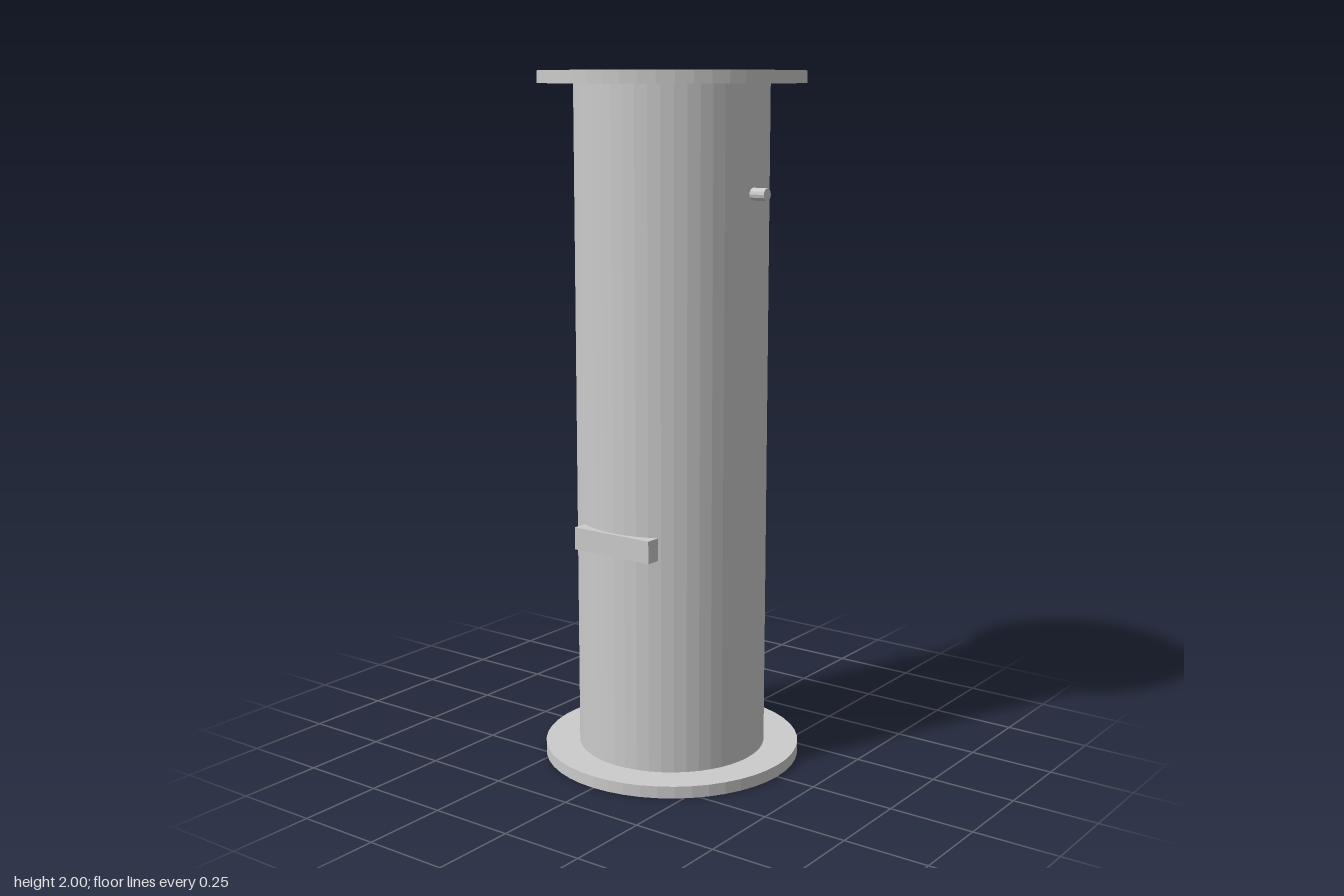
import * as THREE from 'three';

export function createModel() {
  const model = new THREE.Group();
  model.name = 'flangedColumn';
  const material = new THREE.MeshStandardMaterial({ color: 0xcccccc, flatShading: true });

  const add = (name, geometry, x, y, z) => {
    const mesh = new THREE.Mesh(geometry, material);
    mesh.name = name;
    mesh.position.set(x, y, z);
    model.add(mesh);
    return mesh;
  };

  // Main tube and its two end flanges
  const flangeR = 0.377, flangeH = 0.035, bodyR = 0.276, sides = 48;
  add('body', new THREE.CylinderGeometry(bodyR, bodyR, 2 - 2 * flangeH, sides, 1, true), 0, 1, 0);
  const flange = new THREE.CylinderGeometry(flangeR, flangeR, flangeH, sides);
  add('bottomFlange', flange, 0, flangeH / 2, 0);
  add('topFlange', flange, 0, 2 - flangeH / 2, 0);

  // Side bars, partly sunk into the tube
  const bar = new THREE.BoxGeometry(0.046, 0.065, 0.262);
  add('leftBar', bar, 0.265, 0.693, 0);
  add('rightBar', bar, -0.265, 0.693, 0);

  // Front pin
  const pin = new THREE.CylinderGeometry(0.0175, 0.0175, 0.07, 12).rotateX(Math.PI / 2);
  add('frontPin', pin, 0, 1.668, 0.287);

  // Horizontal eyelets on the back
  const eyelet = new THREE.TorusGeometry(0.029, 0.005, 8, 24).rotateX(Math.PI / 2);
  add('upperEyelet', eyelet, 0, 1.445, -0.289);
  add('lowerEyelet', eyelet, 0, 0.56, -0.289);

  return model;
}
